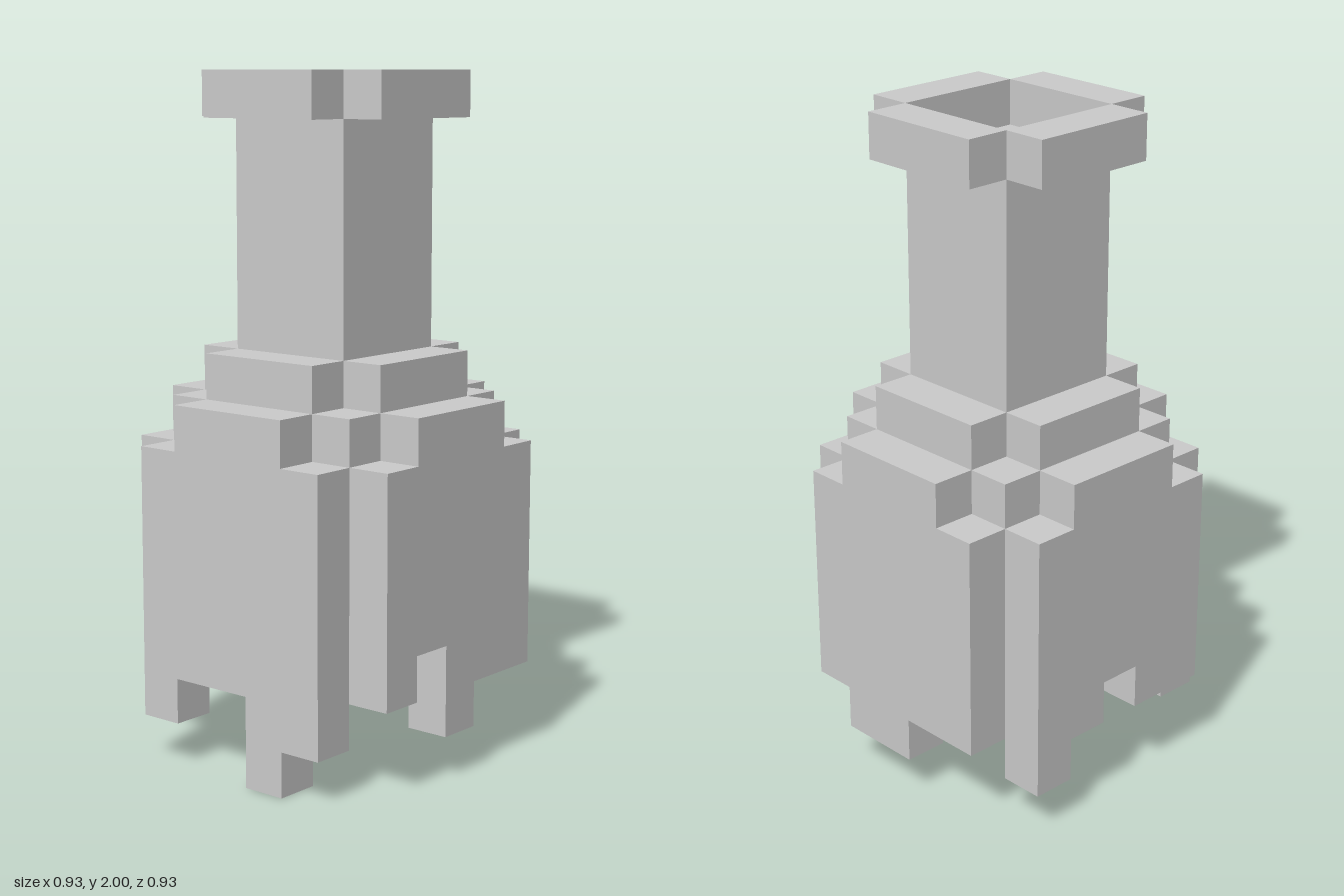
import * as THREE from 'three';

const U = 2 / 15; // one block
const material = new THREE.MeshStandardMaterial({ color: 0xcccccc, flatShading: true });

function addMesh(parent, name, geometry) {
  const mesh = new THREE.Mesh(geometry, material);
  mesh.name = name;
  parent.add(mesh);
  return mesh;
}

// Box in block units, standing on height y
function block(w, h, d, x, y, z) {
  return new THREE.BoxGeometry(w, h, d).translate(x, y + h / 2, z);
}

// Wall slab with stepped shoulders and a broken lower edge
// (bottoms = lower height of each of its five columns, left to right)
function wallGeometry(bottoms) {
  const points = [[2.5, 7], [1.5, 7], [1.5, 8], [-1.5, 8], [-1.5, 7], [-2.5, 7]];
  bottoms.forEach((y, i) => points.push([i - 2.5, y], [i - 1.5, y]));
  const outline = points
    .filter((p, i) => i === 0 || p[0] !== points[i - 1][0] || p[1] !== points[i - 1][1])
    .map(([x, y]) => new THREE.Vector2(x, y));
  return new THREE.ExtrudeGeometry(new THREE.Shape(outline), { depth: 1, bevelEnabled: false })
    .translate(0, 0, 2.5);
}

// Square tube with a one-block bore
function neckGeometry(y, height) {
  const square = (r) => [[-r, -r], [r, -r], [r, r], [-r, r]].map(([a, b]) => new THREE.Vector2(a, b));
  const shape = new THREE.Shape(square(1.5));
  shape.holes.push(new THREE.Path(square(0.5).reverse()));
  return new THREE.ExtrudeGeometry(shape, { depth: height, bevelEnabled: false })
    .rotateX(-Math.PI / 2)
    .translate(0, y, 0);
}

export function createModel() {
  const model = new THREE.Group();
  model.name = 'brokenBottle';
  const bottle = new THREE.Group();
  bottle.name = 'bottle';
  bottle.scale.setScalar(U);
  model.add(bottle);

  addMesh(bottle, 'neck', neckGeometry(9, 5));

  const sides = [
    ['front', 0, [2, 3, 1, 2, 2]],
    ['left', Math.PI / 2, [2, 1, 1, 2, 2]],
    ['back', Math.PI, [1, 2, 3, 2, 2]],
    ['right', -Math.PI / 2, [1, 2, 2, 0, 1]],
  ];
  for (const [name, angle, bottoms] of sides) {
    const side = new THREE.Group();
    side.name = name + 'Side';
    side.rotation.y = angle;
    bottle.add(side);
    addMesh(side, name + 'Wall', wallGeometry(bottoms));
    addMesh(side, name + 'Shoulder', block(3, 1, 1, 0, 8, 2));
    addMesh(side, name + 'ShoulderCorner', block(1, 1, 1, 2, 7, 2));
    addMesh(side, name + 'Lip', block(3, 1, 1, 0, 14, 2));
  }
  return model;
}
